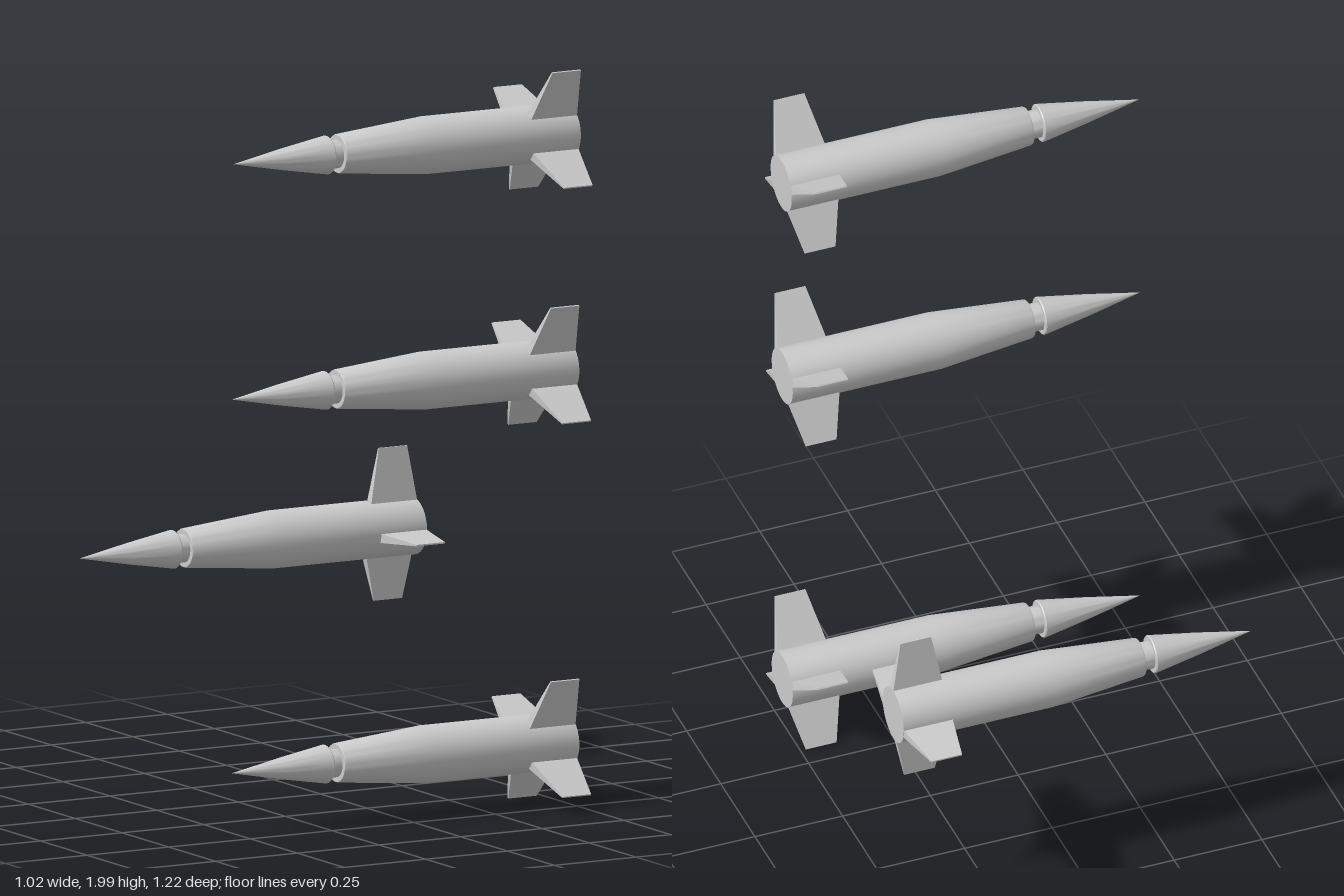
import * as THREE from 'three';
import { toCreasedNormals } from 'three/addons/utils/BufferGeometryUtils.js';

const material = new THREE.MeshStandardMaterial({ color: 0xcccccc });

// Turned part along x, from [x, radius] pairs listed tail to nose
function turned(name, profile) {
  const points = profile.map(([x, r]) => new THREE.Vector2(r, -x));
  const geometry = new THREE.LatheGeometry(points, 32).rotateZ(Math.PI / 2);
  const mesh = new THREE.Mesh(toCreasedNormals(geometry, 0.5), material);
  mesh.name = name;
  return mesh;
}

// Tapered fin pointing up: thick long root, thin short tip
function finGeometry(tipRadius, offset) {
  const root = 0.07;
  const geometry = new THREE.BoxGeometry(1, 1, 1);
  const p = geometry.attributes.position;
  for (let i = 0; i < p.count; i++) {
    const tip = p.getY(i) > 0;
    const rear = p.getX(i) > 0;
    const x = tip ? (rear ? 0.485 : 0.398) : (rear ? 0.51 : 0.369);
    p.setXYZ(i, x, tip ? tipRadius : root, offset + p.getZ(i) * (tip ? 0.004 : 0.025));
  }
  const flat = geometry.toNonIndexed();
  flat.computeVertexNormals();
  return flat;
}

// Fins: [name, turn about the axis, tip radius, sideways offset]
const FINS = [
  ['topFin', 0, 0.22, 0.013],
  ['leftFin', Math.PI / 2, 0.217, 0.012],
  ['bottomFin', Math.PI, 0.196, 0.014],
  ['rightFin', -Math.PI / 2, 0.217, -0.012],
];

function createRocket() {
  const rocket = new THREE.Group();
  rocket.add(
    turned('body', [[0.51, 0], [0.51, 0.0775], [0.076, 0.0775], [-0.188, 0.053], [-0.192, 0.051], [-0.192, 0]]),
    turned('neck', [[-0.18, 0.038], [-0.23, 0.038]]),
    turned('noseCone', [[-0.222, 0], [-0.222, 0.05], [-0.225, 0.052], [-0.36, 0.029], [-0.51, 0]]),
  );
  for (const [name, turn, radius, offset] of FINS) {
    const fin = new THREE.Mesh(finGeometry(radius, offset), material);
    fin.name = name;
    fin.rotation.x = turn;
    rocket.add(fin);
  }
  return rocket;
}

export function createModel() {
  const model = new THREE.Group();
  model.name = 'rocketGroup';
  // Three rolled rockets stacked in front, one upright behind: [y, z, roll in degrees]
  const places = [
    [1.815, 0.425, 29.5],
    [1.179, 0.417, 29.5],
    [0.171, 0.417, 29.5],
    [0.625, -0.396, 0],
  ];
  places.forEach(([y, z, roll], i) => {
    const rocket = createRocket();
    rocket.name = `rocket${i + 1}`;
    rocket.position.set(0, y, z);
    rocket.rotation.x = THREE.MathUtils.degToRad(roll);
    model.add(rocket);
  });
  return model;
}
